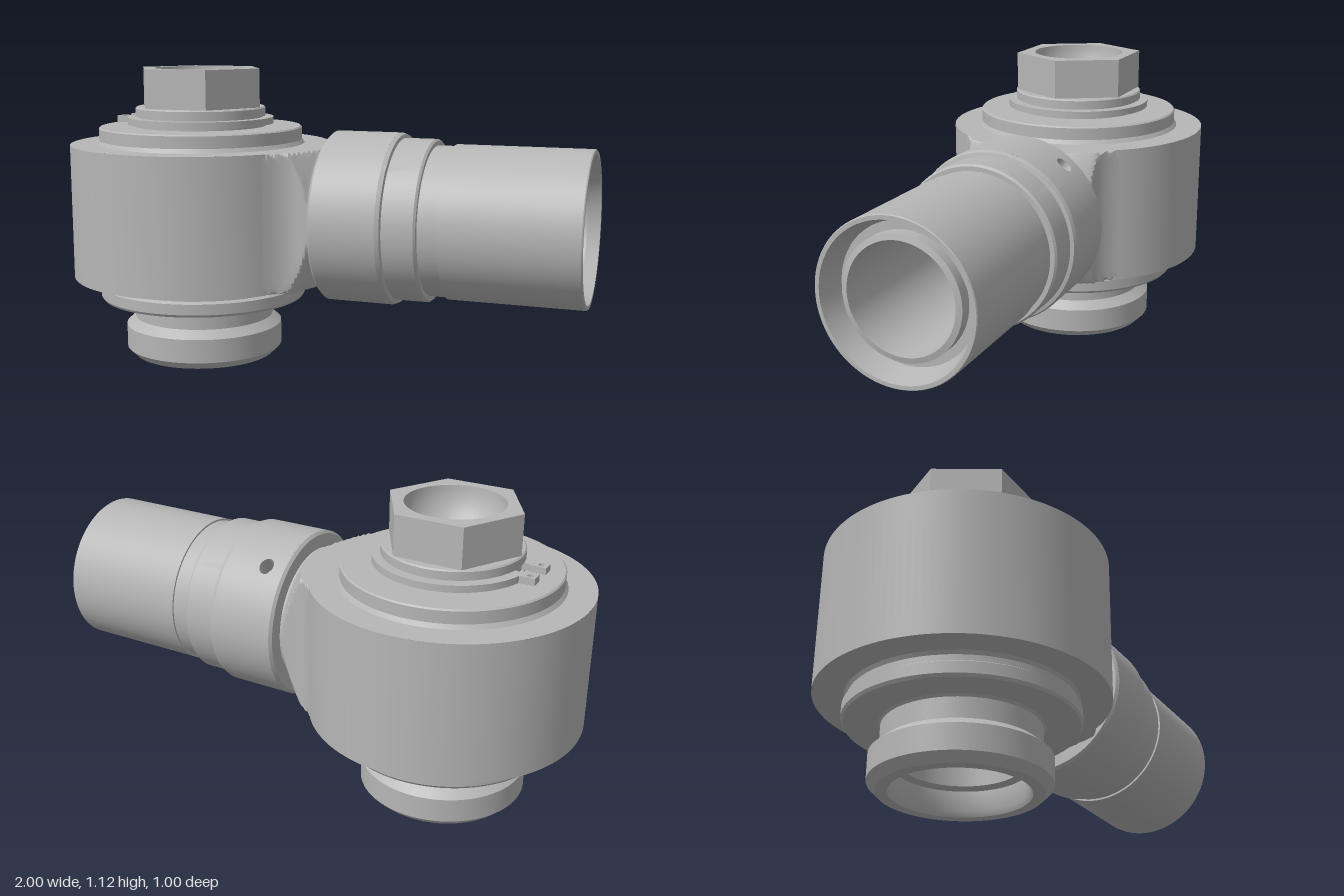
import * as THREE from 'three';
import { toCreasedNormals } from 'three/addons/utils/BufferGeometryUtils.js';

const STEEL = new THREE.MeshStandardMaterial({ color: 0xb6b6b6 });
STEEL.name = 'steel grey';

const AXIS_Y = 0.575; // height of the hose axis
const BOLT_X = -0.5; // position of the vertical axis

function part(name, geometry, parent) {
  const mesh = new THREE.Mesh(toCreasedNormals(geometry, 0.5), STEEL);
  mesh.name = name;
  parent.add(mesh);
  return mesh;
}

// Turned part from [radius, height] pairs, optionally over a partial turn
function turned(pairs, start = 0, length = Math.PI * 2) {
  return new THREE.LatheGeometry(pairs.map(([r, y]) => new THREE.Vector2(r, y)), 96, start, length);
}

// Surface through closed loops: fn(row, angle) returns [x, y, z]
function loops(rows, cols, fn) {
  const pos = [], index = [];
  for (let i = 0; i < rows; i++)
    for (let j = 0; j < cols; j++) pos.push(...fn(i, (j / cols) * Math.PI * 2));
  for (let i = 0; i < rows - 1; i++)
    for (let j = 0; j < cols; j++) {
      const a = i * cols + j, b = i * cols + ((j + 1) % cols), c = a + cols, d = b + cols;
      index.push(a, c, b, b, c, d);
    }
  const g = new THREE.BufferGeometry();
  g.setAttribute('position', new THREE.Float32BufferAttribute(pos, 3));
  g.setIndex(index);
  g.computeVertexNormals();
  return g;
}

function flatPlate(shape, y, depth) {
  return new THREE.ExtrudeGeometry(shape, { depth, bevelEnabled: false, curveSegments: 48 })
    .rotateX(-Math.PI / 2).translate(0, y, 0);
}

function circleHole(shape, x, y, r) {
  shape.holes.push(new THREE.Path().absarc(x, y, r, 0, Math.PI * 2, true));
}

function buildBanjo() {
  const g = new THREE.Group();
  g.name = 'swivelBody';
  g.position.x = BOLT_X;

  // Housing wall, open where the neck joins
  part('housingWall', turned([[0.5, 0.32], [0.5, 0.83]], Math.PI / 2 + 0.66, Math.PI * 2 - 1.32), g);
  part('lowerCollar', turned([[0.26, 0.23], [0.393, 0.23], [0.4, 0.24], [0.4, 0.28], [0.387, 0.288],
    [0.387, 0.308], [0.395, 0.32], [0.5, 0.32]]), g);
  part('upperCollar', turned([[0.5, 0.83], [0.4, 0.83], [0.39, 0.845], [0.39, 0.89], [0.385, 0.895],
    [0.24, 0.895]]), g);

  // Hollow bolt stem with a stepped bore
  part('boltStem', turned([[0, 0.62], [0.16, 0.62], [0.16, 0.18], [0.2, 0.17], [0.2, 0.1], [0.225, 0.09],
    [0.225, 0.02], [0.235, 0], [0.275, 0], [0.305, 0.03], [0.305, 0.12], [0.27, 0.15], [0.27, 0.222],
    [0.28, 0.232]]), g);
  part('boltShoulder', turned([[0.25, 0.895], [0.25, 0.905], [0.24, 0.905], [0.24, 0.935], [0.25, 0.935],
    [0.25, 0.965], [0.245, 0.97], [0.18, 0.97]]), g);

  // Hexagon head with a round bowl in the top
  const hex = new THREE.Shape();
  for (let k = 0; k < 6; k++) {
    const a = (k * Math.PI) / 3;
    hex[k ? 'lineTo' : 'moveTo'](0.247 * Math.cos(a), 0.247 * Math.sin(a));
  }
  circleHole(hex, 0, 0, 0.175);
  part('hexHead', flatPlate(hex, 0.97, 0.147), g);
  const bowl = [];
  for (let i = 0; i <= 16; i++) {
    const a = (i / 16) * Math.PI / 2;
    bowl.push([0.175 * Math.cos(a), 1.117 - 0.175 * Math.sin(a)]);
  }
  part('headBowl', turned(bowl), g);

  // Snap ring with two eyelets
  const ring = new THREE.Shape();
  ring.absarc(0, 0, 0.28, -Math.PI + 0.15, Math.PI - 0.15, false);
  ring.absarc(0, 0, 0.238, Math.PI - 0.15, -Math.PI + 0.15, true);
  part('snapRing', flatPlate(ring, 0.905, 0.025), g);
  for (const s of [-1, 1]) {
    const x0 = -0.325, x1 = -0.265, z0 = s * 0.053 - 0.022, z1 = s * 0.053 + 0.022;
    const lug = new THREE.Shape();
    lug.moveTo(x0, z0).lineTo(x1, z0).lineTo(x1, z1).lineTo(x0, z1);
    circleHole(lug, -0.302, s * 0.053, 0.011);
    part('snapRingEyelet', flatPlate(lug, 0.905, 0.025), g);
  }
  return g;
}

// Neck blending the round housing into the round sleeve
function buildNeck() {
  const rows = 18;
  return loops(rows, 144, (i, t) => {
    const x = -0.12 + (0.175 * i) / (rows - 1);
    const halfWidth = 0.255 + (x < 0 ? 4.8 * x * x : 0);
    const cut = 0.255 + Math.max(0, 0.04 - x) * 1.36;
    const c = Math.cos(t), s = Math.sin(t);
    const r = Math.min(halfWidth / Math.max(Math.abs(c), 1e-6), 0.255 / Math.max(Math.abs(s), 1e-6), cut);
    return [x, AXIS_Y + r * s, r * c];
  });
}

function buildHoseEnd() {
  const g = new THREE.Group();
  g.name = 'hoseEnd';
  g.rotation.z = -Math.PI / 2;
  g.position.y = AXIS_Y;

  // Sleeve, with a patch in its wall around the small pin hole
  const R = 0.317, y0 = 0.06, y1 = 0.3, holeY = 0.135, span = 0.2;
  const holePhi = Math.atan2(-0.78, -0.63);
  part('sleeveBackFace', turned([[0.19, 0.05], [0.307, 0.05], [R, y0]]), g);
  part('sleeveWall', turned([[R, y0], [R, y1]], holePhi + span, Math.PI * 2 - 2 * span), g);
  const clamp = (v) => THREE.MathUtils.clamp(v * 1.42, -1, 1);
  part('pinHole', loops(8, 32, (i, t) => {
    const c = Math.cos(t), s = Math.sin(t);
    const size = i === 0 ? 0 : 1, k = Math.max(0, i - 2) / 5;
    const edgeY = clamp(s) * (s > 0 ? y1 - holeY : holeY - y0);
    const phi = holePhi + THREE.MathUtils.lerp(0.1 * c * size, span * clamp(c), k);
    const y = holeY + THREE.MathUtils.lerp(0.027 * s * size, edgeY, k);
    const r = i < 2 ? 0.25 : R;
    return [r * Math.sin(phi), y, r * Math.cos(phi)];
  }), g);

  // Stepped tube, end recess, inner nipple and bore
  part('hoseTube', turned([[R, y1], [0.311, 0.315], [0.298, 0.318], [0.298, 0.432], [0.291, 0.44],
    [0.275, 0.44], [0.275, 0.51], [0.282, 0.51], [0.282, 0.996], [0.279, 1], [0.265, 1], [0.24, 0.91],
    [0.21, 0.91], [0.21, 0.955], [0.19, 0.96], [0.19, -0.2]]), g);
  return g;
}

// Wall at the inner end of the bore, with an off-centre port
function buildBoreEnd(group) {
  const wall = new THREE.Shape().absarc(0, 0, 0.192, 0, Math.PI * 2, false);
  wall.holes.push(new THREE.Path().absellipse(-0.112, 0.045, 0.06, 0.09, 0, Math.PI * 2, true, 0));
  const plate = new THREE.ExtrudeGeometry(wall, { depth: 0.1, bevelEnabled: false, curveSegments: 32 });
  part('boreEndWall', plate.rotateY(Math.PI / 2).translate(-0.3, AXIS_Y, 0), group);
  part('portFloor', new THREE.CircleGeometry(0.19, 32).rotateY(Math.PI / 2).translate(-0.295, AXIS_Y, 0), group);
}

export function createModel() {
  const model = new THREE.Group();
  model.name = 'swivelHoseFitting';
  model.add(buildBanjo());
  part('neck', buildNeck(), model);
  model.add(buildHoseEnd());
  buildBoreEnd(model);
  return model;
}
